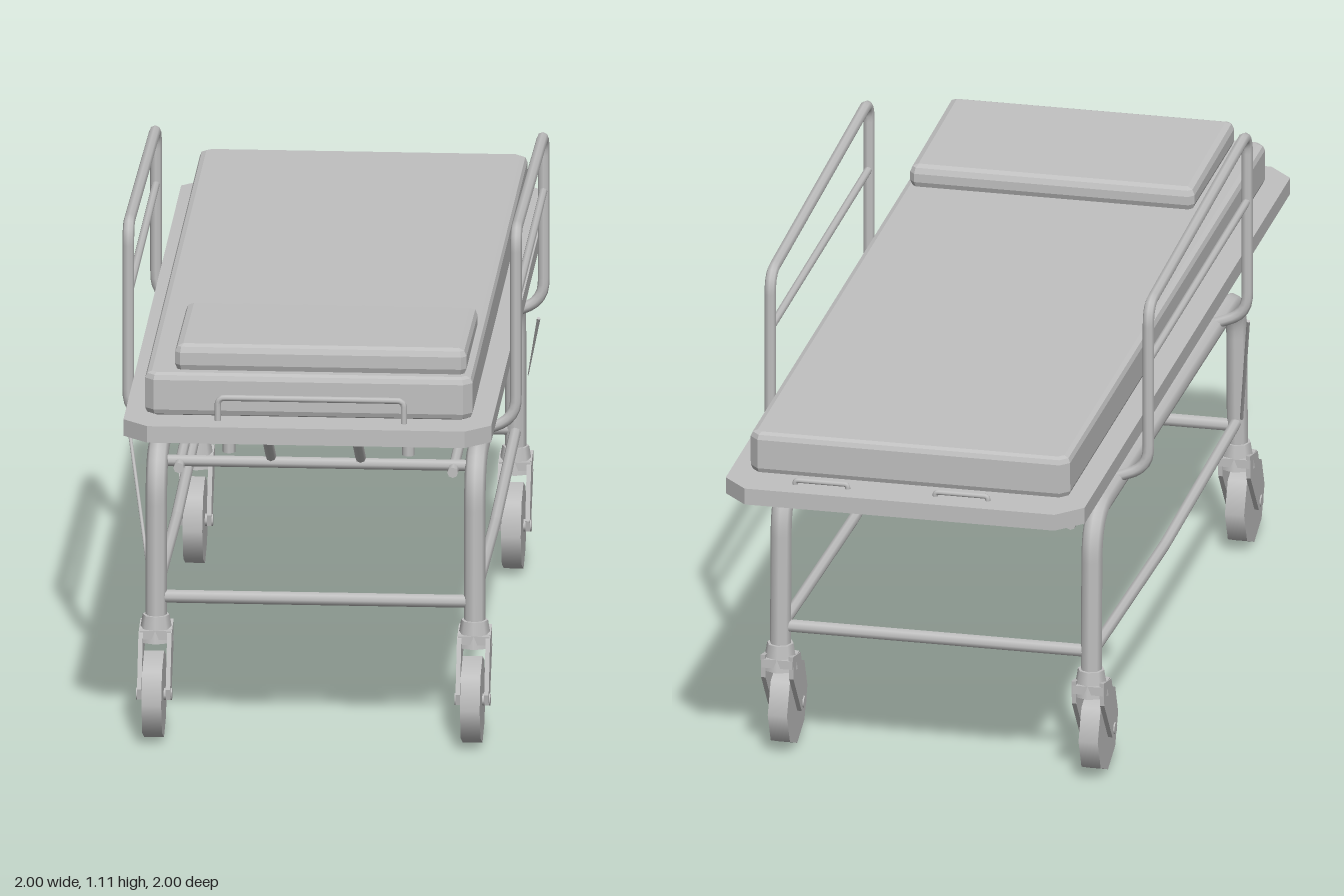
import * as THREE from 'three';

const steel = new THREE.MeshStandardMaterial({ color: 0xc0c0c0, side: THREE.DoubleSide });
steel.name = 'pale grey';

const V = (x, y, z) => new THREE.Vector3(x, y, z);

function add(parent, name, geometry) {
  const mesh = new THREE.Mesh(geometry, steel);
  mesh.name = name;
  parent.add(mesh);
  return mesh;
}

// Straight round bar between two points
function bar(parent, name, a, b, r = 0.012, r2 = r) {
  const d = b.clone().sub(a);
  const m = add(parent, name, new THREE.CylinderGeometry(r2, r, d.length(), 8));
  m.position.copy(a).addScaledVector(d, 0.5);
  m.quaternion.setFromUnitVectors(V(0, 1, 0), d.normalize());
  return m;
}

// Bent tube through points, each inner corner rounded by the given length
function bentTube(parent, name, pts, r, corner, segments = 64) {
  const path = new THREE.CurvePath();
  let last = pts[0];
  for (let i = 1; i < pts.length - 1; i++) {
    const p = pts[i];
    const a = p.clone().add(pts[i - 1].clone().sub(p).setLength(corner));
    const b = p.clone().add(pts[i + 1].clone().sub(p).setLength(corner));
    path.add(new THREE.LineCurve3(last, a));
    path.add(new THREE.QuadraticBezierCurve3(a, p, b));
    last = b;
  }
  path.add(new THREE.LineCurve3(last, pts[pts.length - 1]));
  return add(parent, name, new THREE.TubeGeometry(path, segments, r, 8));
}

// Rectangle with clipped corners, drawn in x and z
function clipped(Target, hx, hz, c) {
  const s = new Target();
  s.setFromPoints([[hx, c - hz], [hx, hz - c], [hx - c, hz], [c - hx, hz],
    [-hx, hz - c], [-hx, c - hz], [c - hx, -hz], [hx - c, -hz]]
    .map(([x, y]) => new THREE.Vector2(x, y)));
  s.closePath();
  return s;
}

// Flat slab from y0 to y1 with an optional hole and bevelled rim
function slab(shape, y0, y1, bevel = 0) {
  const g = new THREE.ExtrudeGeometry(shape, {
    depth: y1 - y0 - 2 * bevel, bevelEnabled: bevel > 0, bevelSize: bevel,
    bevelThickness: bevel, bevelOffset: -bevel, bevelSegments: 2,
  });
  g.rotateX(-Math.PI / 2).translate(0, y0 + bevel, 0);
  return g;
}

function buildTop(root) {
  const top = new THREE.Group();
  top.name = 'bedTop';
  top.rotation.z = 0.0125;
  root.add(top);

  // Shallow tray with a rim that hangs down
  add(top, 'tray', slab(clipped(THREE.Shape, 1.06, 0.41, 0.056), 0.764, 0.78));
  const rim = clipped(THREE.Shape, 1.06, 0.41, 0.056);
  rim.holes.push(clipped(THREE.Path, 1.04, 0.39, 0.05));
  add(top, 'trayRim', slab(rim, 0.742, 0.764));

  add(top, 'mattress', slab(clipped(THREE.Shape, 0.972, 0.365, 0.02), 0.78, 0.878, 0.015));

  // Pillow, thinning a little towards the foot
  const g = slab(clipped(THREE.Shape, 0.205, 0.325, 0.012), 0.872, 0.936, 0.018);
  const p = g.attributes.position;
  for (let i = 0; i < p.count; i++) {
    if (p.getY(i) > 0.9) p.setY(i, p.getY(i) + (p.getX(i) - 0.2) * 0.02);
  }
  g.computeVertexNormals();
  add(top, 'pillow', g).position.set(0.735, 0, -0.025);

  // Push handles at the two ends
  bentTube(top, 'headHandle', [V(1, 0.77, -0.215), V(1, 0.832, -0.215),
    V(1, 0.832, 0.2), V(1, 0.77, 0.2)], 0.007, 0.015);
  for (const z of [-0.19, 0.13]) {
    bentTube(top, 'footHandle', [V(-1.01, 0.77, z - 0.06), V(-1.01, 0.79, z - 0.06),
      V(-1.01, 0.79, z + 0.06), V(-1.01, 0.77, z + 0.06)], 0.006, 0.008);
  }

  // Ribs below the tray
  for (let i = 0; i < 8; i++) {
    const x = -0.84 + i * 0.24;
    bar(top, 'trayRib', V(x, 0.752, -0.38), V(x, 0.752, 0.38), 0.011);
  }
}

function buildCaster(root, x, z) {
  const caster = new THREE.Group();
  caster.name = 'caster';
  caster.position.set(x, 0, z);
  root.add(caster);
  bar(caster, 'swivel', V(0, 0.205, 0), V(0, 0.265, 0), 0.04, 0.03);
  const wheel = add(caster, 'wheel', new THREE.CylinderGeometry(0.1, 0.1, 0.044, 8));
  wheel.rotation.x = Math.PI / 2;
  wheel.position.set(0.07, 0.1, 0);
  bar(caster, 'axle', V(0.07, 0.1, -0.04), V(0.07, 0.1, 0.04), 0.014);
  // Fork blades raked back to the axle
  const blade = new THREE.Shape([[-0.035, 0.245], [-0.03, 0.19], [0.05, 0.085], [0.085, 0.09],
    [0.09, 0.115], [0.04, 0.23]].map(([a, b]) => new THREE.Vector2(a, b)));
  for (const s of [-1, 1]) {
    add(caster, 'forkBlade', new THREE.ExtrudeGeometry(blade, { depth: 0.01, bevelEnabled: false }))
      .position.z = s * 0.032 - 0.005;
  }
  add(caster, 'forkBridge', new THREE.BoxGeometry(0.07, 0.02, 0.07)).position.set(0, 0.225, 0);
}

function buildSide(root, s) {
  const X = 0.705, Z = 0.355 * s;

  // Arched leg tube and its lower bar
  bentTube(root, 'legArch', [V(-X - 0.01, 0.23, Z), V(-X, 0.625, Z), V(X, 0.625, Z),
    V(X + 0.01, 0.23, Z)], 0.024, 0.1, 96);
  bar(root, 'lowerSideBar', V(-X, 0.3, Z), V(0, 0.288, Z), 0.013);
  bar(root, 'lowerSideBar', V(0, 0.288, Z), V(X, 0.315, Z), 0.013);
  bar(root, 'innerRail', V(-X, 0.6, Z * 0.86), V(X, 0.6, Z * 0.86), 0.012);

  // Safety rail beside the mattress
  const O = 0.432 * s;
  bentTube(root, 'safetyRail', [V(-0.485, 0.635, Z), V(-0.485, 0.665, O), V(-0.485, 1.05, O),
    V(0.48, 1.098, O), V(0.48, 0.665, O), V(0.48, 0.635, Z)], 0.013, 0.045, 120);
  bar(root, 'safetyRailMiddle', V(-0.485, 0.92, O), V(0.48, 0.935, O), 0.009);

  // Lengthwise beam and the props that carry the tray
  const B = 0.2 * s;
  bar(root, 'beam', V(-0.64, 0.685, B), V(0.64, 0.7, B), 0.016);
  for (const x of [-0.6, 0, 0.6]) {
    bar(root, 'post', V(x, 0.61, B), V(x, 0.76, B), 0.014);
    bar(root, 'sideProp', V(x, 0.63, Z), V(x + 0.06, 0.755, B), 0.01);
  }
  for (const e of [-1, 1]) {
    bar(root, 'endProp', V(e * 0.7, 0.63, 0.1 * s), V(e * 0.9, 0.75, 0.1 * s), 0.012);
  }
}

export function createModel() {
  const model = new THREE.Group();
  model.name = 'wheeledStretcher';
  const root = new THREE.Group();
  root.name = 'stretcher';
  root.rotation.y = -Math.PI / 4;
  model.add(root);

  buildTop(root);
  for (const s of [-1, 1]) {
    buildSide(root, s);
    for (const e of [-1, 1]) buildCaster(root, e * 0.715, s * 0.355);
  }

  // Cross bars of the undercarriage
  for (const e of [-1, 1]) {
    bar(root, 'lowerCrossBar', V(e * 0.71, 0.305, -0.355), V(e * 0.71, 0.305, 0.355), 0.015);
  }
  for (const x of [-0.66, -0.3, 0, 0.3, 0.66]) {
    bar(root, 'upperCrossBar', V(x, 0.605, -0.355), V(x, 0.605, 0.355), 0.013);
  }
  bar(root, 'diagonalBrace', V(-0.6, 0.66, -0.2), V(0.3, 0.61, 0.2), 0.016);

  // Thin release wires
  bar(root, 'releaseWire', V(0.5, 0.64, 0.43), V(0.69, 0.33, 0.37), 0.004);
  bar(root, 'releaseWire', V(-0.5, 0.62, -0.42), V(-0.6, 0.46, -0.39), 0.004, 0.001);
  return model;
}
